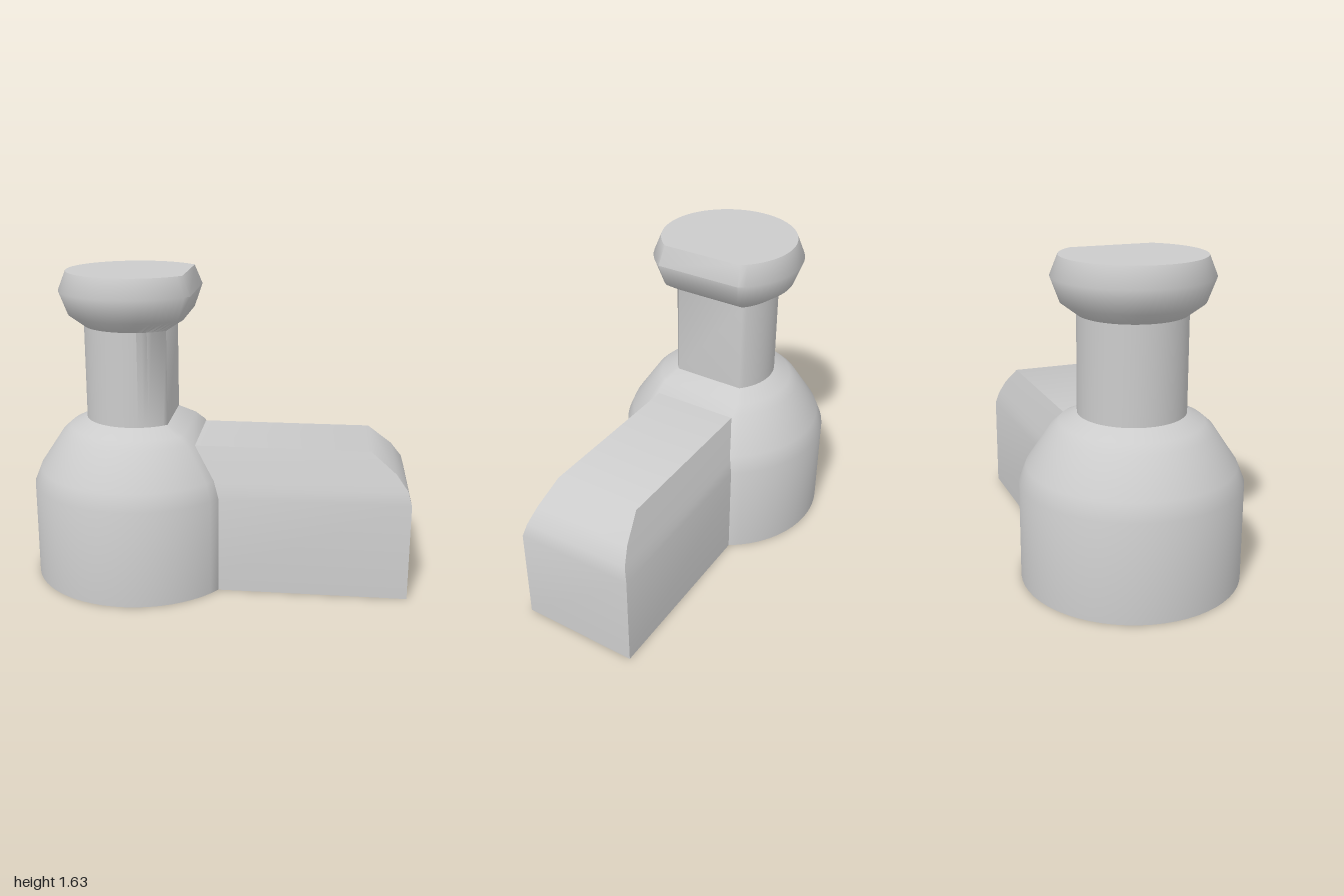
import * as THREE from 'three';
import { toCreasedNormals } from 'three/addons/utils/BufferGeometryUtils.js';

// Skin a stack of rings (each counter-clockwise seen from above) and cap both ends.
function loft(rings, crease) {
  const n = rings[0].length, pos = [], idx = [];
  rings.forEach(r => r.forEach(p => pos.push(...p)));
  for (let i = 0; i < rings.length - 1; i++) {
    for (let j = 0; j < n; j++) {
      const a = i * n + j, b = i * n + (j + 1) % n;
      idx.push(a, b, b + n, a, b + n, a + n);
    }
  }
  const top = (rings.length - 1) * n;
  for (let j = 1; j < n - 1; j++) {
    idx.push(0, j + 1, j, top, top + j, top + j + 1);
  }
  const g = new THREE.BufferGeometry();
  g.setAttribute('position', new THREE.Float32BufferAttribute(pos, 3));
  g.setIndex(idx);
  return toCreasedNormals(g, crease);
}

// Circle of radius r cut off by a straight chord at distance f on the +x side.
function cutCircle(r, f, y, cx = -0.44, segments = 48) {
  const start = Math.acos(f / r), ring = [];
  for (let i = 0; i <= segments; i++) {
    const a = start + (2 * Math.PI - 2 * start) * i / segments;
    ring.push([cx + r * Math.cos(a), y, -r * Math.sin(a)]);
  }
  return ring;
}

export function createModel() {
  const group = new THREE.Group();
  const material = new THREE.MeshStandardMaterial({ color: 0xcccccc });
  const add = (name, geometry) => {
    const mesh = new THREE.Mesh(geometry, material);
    mesh.name = name;
    group.add(mesh);
  };

  // Round body, neck and flared head: [radius, chord distance, height]
  const column = [
    [0.56, 0.466, 0], [0.56, 0.466, 0.51], [0.525, 0.44, 0.595],
    [0.405, 0.33, 0.775], [0.36, 0.28, 0.815], [0.27, 0.19, 0.86],
    [0.27, 0.19, 1.35], [0.35, 0.28, 1.41], [0.395, 0.32, 1.53], [0.355, 0.28, 1.63],
  ];
  add('bodyNeckAndHead', loft(column.map(([r, f, y]) => cutCircle(r, f, y)), 0.9));

  // Block arm with tapered top: [height, half width, end x]
  const arm = [
    [0, 0.31, 1], [0.51, 0.31, 1], [0.58, 0.29, 0.98],
    [0.66, 0.265, 0.92], [0.765, 0.23, 0.79],
  ];
  add('arm', loft(arm.map(([y, w, e]) =>
    [[-0.2, y, w], [e, y, w], [e, y, -w], [-0.2, y, -w]]), 0.9));

  return group;
}
